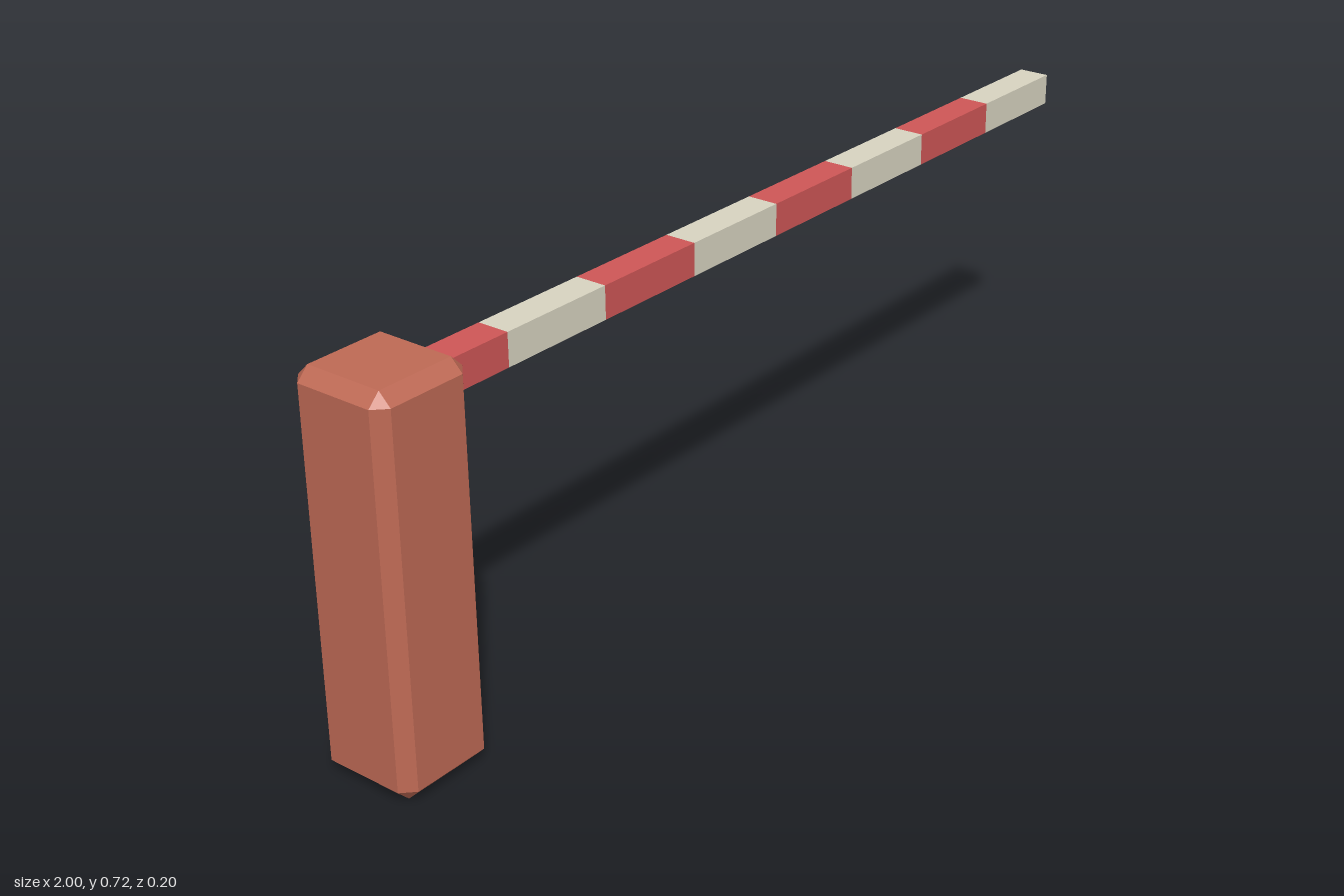
import * as THREE from 'three';
import { ConvexGeometry } from 'three/addons/geometries/ConvexGeometry.js';

const material = (name, color) => {
  const m = new THREE.MeshStandardMaterial({ color });
  m.name = name;
  return m;
};

// Box with one flat chamfer on every edge and a triangle at each corner
function chamferedBox(w, h, d, c) {
  const points = [];
  const half = [w / 2, h / 2, d / 2];
  for (const sx of [-1, 1]) for (const sy of [-1, 1]) for (const sz of [-1, 1]) {
    for (let axis = 0; axis < 3; axis++) {
      const [x, y, z] = half.map((s, i) => (i === axis ? s : s - c));
      points.push(new THREE.Vector3(sx * x, sy * y, sz * z));
    }
  }
  return new ConvexGeometry(points);
}

export function createModel() {
  const terracotta = material('terracotta', 0xbf6a55);
  const red = material('red', 0xd05757);
  const cream = material('cream', 0xd9d5c2);

  const model = new THREE.Group();
  model.name = 'barrierGate';

  // Chamfered post
  const post = new THREE.Mesh(chamferedBox(0.197, 0.722, 0.197, 0.023), terracotta);
  post.name = 'post';
  post.position.set(-0.9015, 0.361, 0);
  model.add(post);

  // Striped arm, its first stripe set into the post
  const arm = new THREE.Group();
  arm.name = 'arm';
  arm.position.y = 0.658;
  const count = 8, length = 0.2364, thickness = 0.062;
  const stripe = new THREE.BoxGeometry(length, thickness, thickness);
  for (let i = 0; i < count; i++) {
    const mesh = new THREE.Mesh(stripe, i % 2 ? cream : red);
    mesh.name = `armStripe${i + 1}`;
    mesh.position.x = 1 - (count - i - 0.5) * length;
    arm.add(mesh);
  }
  model.add(arm);

  return model;
}
